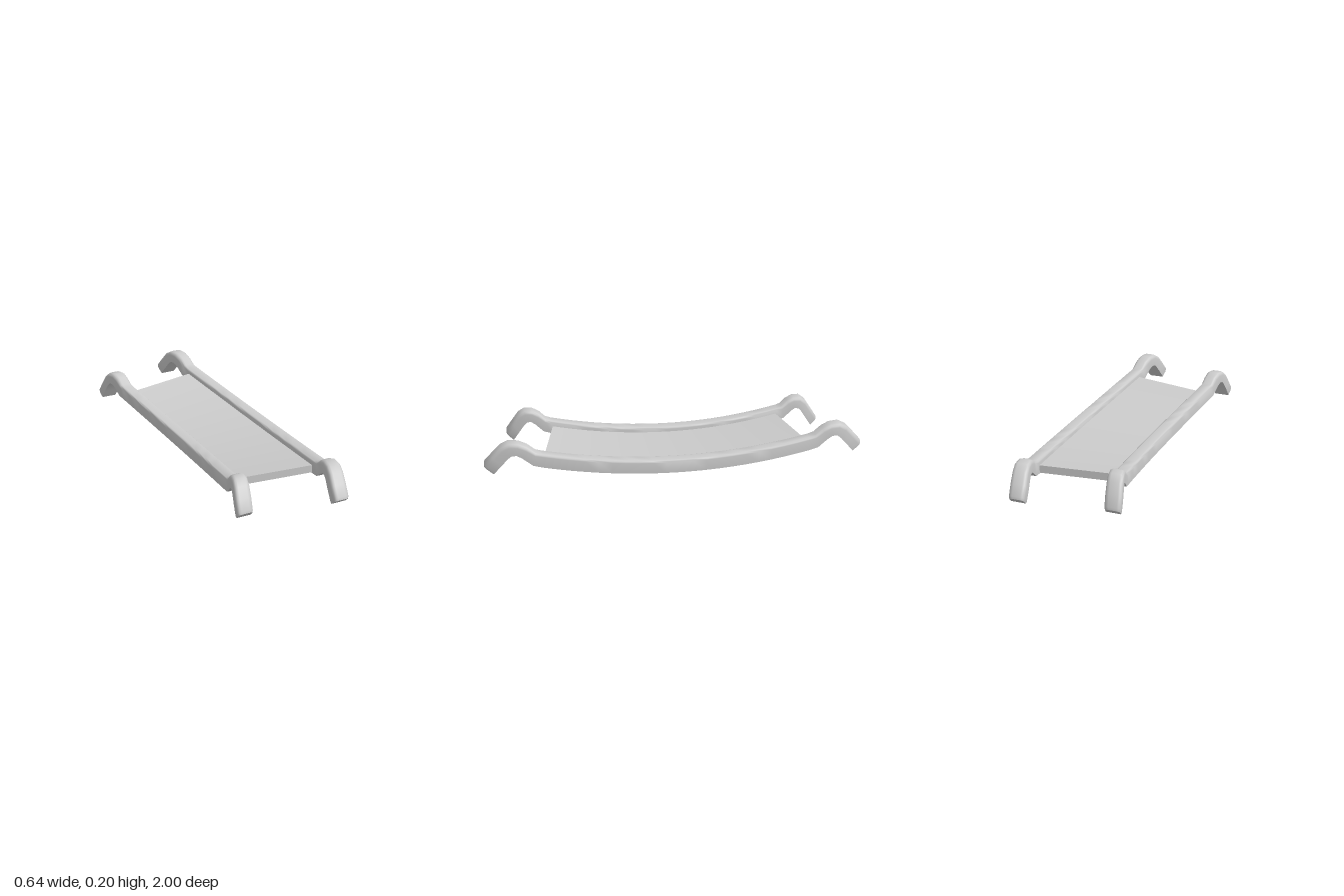
import * as THREE from 'three';
import { toCreasedNormals } from 'three/addons/utils/BufferGeometryUtils.js';

// Skin a list of closed rings (counter-clockwise seen from +z, running towards +z), with end caps
function loft(rings, crease) {
  const n = rings[0].length, pos = [];
  const tri = (a, b, c) => pos.push(...a, ...b, ...c);
  for (let i = 0; i < rings.length - 1; i++) {
    for (let j = 0; j < n; j++) {
      const k = (j + 1) % n;
      tri(rings[i][j], rings[i][k], rings[i + 1][k]);
      tri(rings[i][j], rings[i + 1][k], rings[i + 1][j]);
    }
  }
  const first = rings[0], last = rings[rings.length - 1];
  for (let j = 1; j < n - 1; j++) {
    tri(last[0], last[j], last[j + 1]);
    tri(first[0], first[j + 1], first[j]);
  }
  const g = new THREE.BufferGeometry();
  g.setAttribute('position', new THREE.Float32BufferAttribute(pos, 3));
  return toCreasedNormals(g, crease);
}

// Bowed centre line and sagging underside shared by rails and panel
const bowX = z => 0.285 - 0.11 * z * z;
const sagY = z => 0.025 + 0.105 * z * z;

// The right-hand rail is a shorter, lower, slightly skewed copy of the left-hand one
const placeLeft = (x, y, z) => [x, y, z];
const placeRight = (x, y, z) => {
  const tip = Math.max(0, (Math.abs(z) - 0.7) / 0.3);
  return [
    x - 0.458 + 0.01 * z * z - 0.009 * z,
    y - 0.013 - 0.015 * tip * tip + 0.008 * z * tip,
    z * (0.9 - 0.025 * tip),
  ];
};

// Half of a rail: [top z, top y, bottom z, bottom y, half width, corner radius]
const half = [];
for (let i = 0; i <= 10; i++) {
  const z = 0.07 * i;
  half.push([z, sagY(z) + 0.07, z, sagY(z), 0.034, 0.012]);
}
half.push(
  [0.735, 0.155, 0.75, 0.087, 0.035, 0.015],
  [0.775, 0.186, 0.803, 0.128, 0.037, 0.019],
  [0.82, 0.204, 0.83, 0.143, 0.039, 0.02],
  [0.872, 0.204, 0.856, 0.142, 0.041, 0.02],
  [0.915, 0.18, 0.877, 0.125, 0.042, 0.02],
  [0.957, 0.133, 0.912, 0.085, 0.043, 0.02],
  [0.997, 0.088, 0.946, 0.046, 0.042, 0.02],
  [1.0, 0.075, 0.953, 0.038, 0.039, 0.02],
);

// Flat-bottomed section with rounded upper corners
function railRing([zt, yt, zb, yb, w, r], sign, place) {
  const h = Math.hypot(zt - zb, yt - yb);
  const at = (dx, up) => {
    const f = up / h, z = sign * (zb + (zt - zb) * f);
    return place(bowX(z) + dx, yb + (yt - yb) * f, z);
  };
  const ring = [at(-w, 0), at(w, 0)];
  for (const side of [1, -1]) {
    for (let i = 0; i <= 3; i++) {
      const a = (side > 0 ? i : 3 - i) * Math.PI / 6;
      ring.push(at(side * (w - r + r * Math.cos(a)), h - r + r * Math.sin(a)));
    }
  }
  return ring;
}

function railGeometry(place) {
  const back = half.slice(1).reverse().map(s => railRing(s, -1, place));
  const front = half.map(s => railRing(s, 1, place));
  return loft([...back, ...front], 0.85);
}

// Curved panel spanning the rails, its underside almost flush with theirs
function panelGeometry() {
  const rings = [], thick = 0.04, steps = 24;
  for (let i = 0; i <= steps; i++) {
    const z = -0.69 + 1.38 * i / steps, y = sagY(z) + 0.003;
    rings.push([
      placeRight(bowX(z) + 0.025, y, z),
      placeLeft(bowX(z) - 0.025, y, z),
      placeLeft(bowX(z) - 0.025, y + thick, z),
      placeRight(bowX(z) + 0.025, y + thick, z),
    ]);
  }
  return loft(rings, 0.85);
}

export function createModel() {
  const model = new THREE.Group();
  model.name = 'hookedCurvedPanel';
  const material = new THREE.MeshStandardMaterial({ color: 0xcccccc });
  const add = (name, geometry) => {
    const mesh = new THREE.Mesh(geometry, material);
    mesh.name = name;
    model.add(mesh);
  };
  add('leftHookedRail', railGeometry(placeLeft));
  add('rightHookedRail', railGeometry(placeRight));
  add('panel', panelGeometry());
  return model;
}
